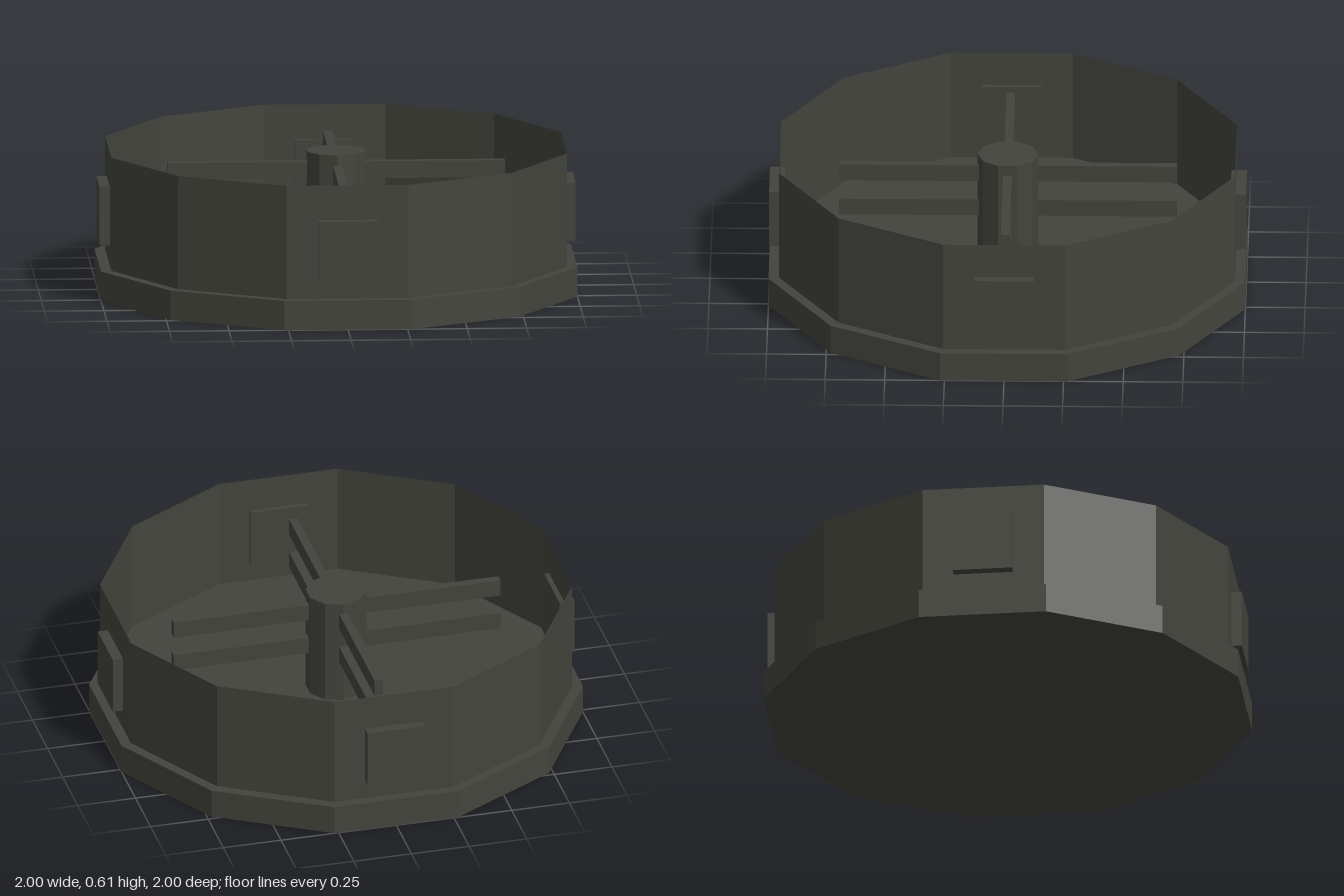
import * as THREE from 'three';

export function createModel() {
  const group = new THREE.Group();
  group.name = 'drum';

  const darkMetal = new THREE.MeshStandardMaterial({ color: 0x44443d, flatShading: true, side: THREE.DoubleSide });
  darkMetal.name = 'darkMetal';

  const add = (name, geometry, x = 0, y = 0, z = 0) => {
    const mesh = new THREE.Mesh(geometry, darkMetal);
    mesh.name = name;
    mesh.position.set(x, y, z);
    group.add(mesh);
    return mesh;
  };

  // Twelve-sided rings with flats facing the axes; sized by distance to the flat
  const ring = (apothem, height, open) => {
    const r = apothem / Math.cos(Math.PI / 12);
    return new THREE.CylinderGeometry(r, r, height, 12, 1, open).rotateY(Math.PI / 12);
  };

  // Solid base and thin open wall
  add('base', ring(1, 0.125, false), 0, 0.0625, 0);
  add('wall', ring(0.956, 0.482, true), 0, 0.366, 0);

  // Central hub
  add('hub', new THREE.CylinderGeometry(0.128, 0.128, 0.465, 10), 0, 0.3525, 0);

  // Four directions: outer panel through the wall and two levels of spokes
  for (let i = 0; i < 4; i++) {
    const angle = (i * Math.PI) / 2;
    const sx = Math.sin(angle), cz = Math.cos(angle);
    add('sidePanel', new THREE.BoxGeometry(0.25, 0.25, 0.065), sx * 0.9675, 0.335, cz * 0.9675).rotation.y = angle;
    for (const y of [0.345, 0.503]) {
      add('spoke', new THREE.BoxGeometry(0.037, 0.072, 0.61), sx * 0.403, y, cz * 0.403).rotation.y = angle;
    }
  }

  return group;
}
